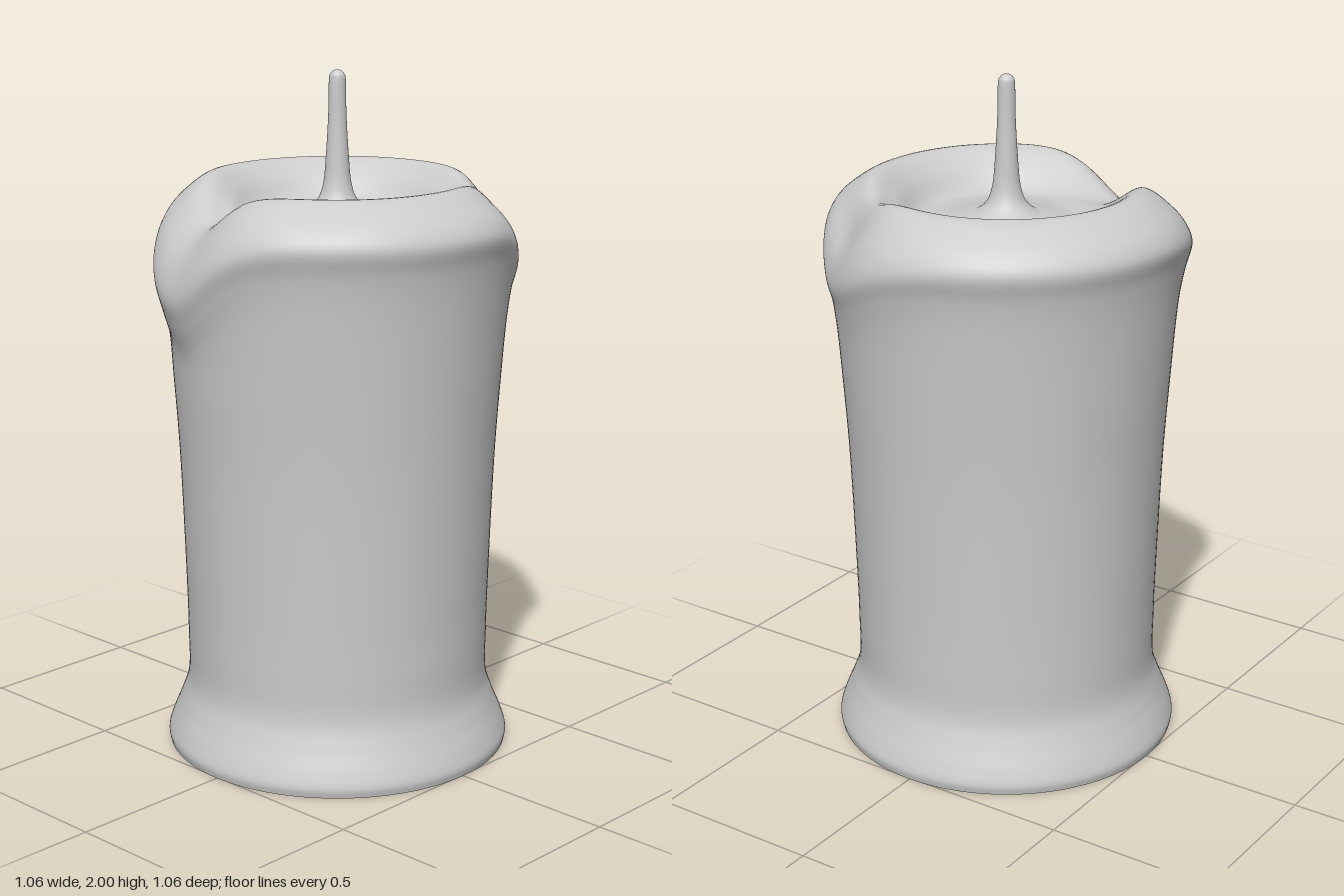
import * as THREE from 'three';

const material = new THREE.MeshStandardMaterial({ color: 0xcccccc });
const COLS = 128, ROWS = 120;

// Bell curve around an angle, with a different width on each side
function bell(a, centre, widthBelow, widthAbove) {
  let d = a - centre;
  d = Math.atan2(Math.sin(d), Math.cos(d));
  return Math.exp(-((d / (d < 0 ? widthBelow : widthAbove)) ** 2));
}

const bodyRadius = (y) => {
  const t = Math.max(0, y - 0.9);
  return 0.463 + 0.06 * t + 0.016 * t * t;
};

// Profile of the wax at one angle: pool, rim, overhanging lip, body, foot
function waxProfile(a) {
  const front = THREE.MathUtils.degToRad(42), back = THREE.MathUtils.degToRad(199);
  const drip1 = bell(a, front, 0.55, 0.34), drip2 = bell(a, back, 0.42, 0.62);
  const notch1 = bell(a, front, 0.3, 0.3), notch2 = bell(a, back + 0.1, 0.4, 0.42);
  const pool = 1.585;
  const crest = 1.695 - 0.035 * notch1 - 0.115 * notch2;
  const lip = 1.575 - 0.145 * drip1 - 0.195 * drip2;
  const lipR = 0.529 - 0.012 * notch1;
  const shoulder = crest - (crest - lip) * (0.35 + 0.1 * notch1);
  const points = [
    [0, 1.62], [0.1, 1.6], [0.19, pool], [0.255, pool + 0.003],
    [0.315, pool + (crest - pool) * 0.6], [0.385, crest],
    [0.47 - 0.012 * notch1, shoulder], [0.512 - 0.012 * notch1, shoulder + (lip - shoulder) * 0.5],
    [lipR, lip], [lipR - 0.016, lip - 0.07],
    [bodyRadius(lip - 0.16) + 0.002, lip - 0.16],
    [bodyRadius(1.1), 1.1], [bodyRadius(0.9), 0.9], [0.452, 0.6], [0.446, 0.35],
    [0.448, 0.2], [0.47, 0.13], [0.497, 0.065], [0.509, 0.025], [0.505, 0]
  ];
  return new THREE.CatmullRomCurve3(points.map(([r, y]) => new THREE.Vector3(r, y, 0)));
}

// Sweeps the changing profile around the axis
function waxGeometry() {
  const pos = [], index = [];
  for (let j = 0; j < COLS; j++) {
    const a = (j / COLS) * Math.PI * 2;
    const curve = waxProfile(a);
    for (let i = 0; i <= ROWS; i++) {
      const p = curve.getPoint(i / ROWS);
      pos.push(p.x * Math.cos(a), p.y, p.x * Math.sin(a));
    }
  }
  const at = (i, j) => (j % COLS) * (ROWS + 1) + i;
  for (let j = 0; j < COLS; j++) {
    for (let i = 0; i < ROWS; i++) {
      index.push(at(i, j), at(i, j + 1), at(i + 1, j));
      index.push(at(i, j + 1), at(i + 1, j + 1), at(i + 1, j));
    }
  }
  const g = new THREE.BufferGeometry();
  g.setAttribute('position', new THREE.Float32BufferAttribute(pos, 3));
  g.setIndex(index);
  g.computeVertexNormals();
  return g;
}

export function createModel() {
  const group = new THREE.Group();
  group.name = 'candle';
  const add = (name, geometry) => {
    const mesh = new THREE.Mesh(geometry, material);
    mesh.name = name;
    group.add(mesh);
    return mesh;
  };

  add('waxBody', waxGeometry());

  // Flat underside
  add('base', new THREE.CircleGeometry(0.505, COLS)).rotation.x = Math.PI / 2;

  // Wick flaring out into the pool, with a rounded tip
  const wick = new THREE.SplineCurve([
    [0.13, 1.588], [0.085, 1.606], [0.055, 1.635], [0.04, 1.68], [0.033, 1.75],
    [0.026, 1.87], [0.024, 1.97], [0.019, 1.99], [0.01, 1.998], [0, 2]
  ].map(([r, y]) => new THREE.Vector2(r, y)));
  const profile = wick.getPoints(50).map((p) => new THREE.Vector2(Math.max(0, p.x), Math.min(2, p.y)));
  add('wick', new THREE.LatheGeometry(profile, 40));

  return group;
}
